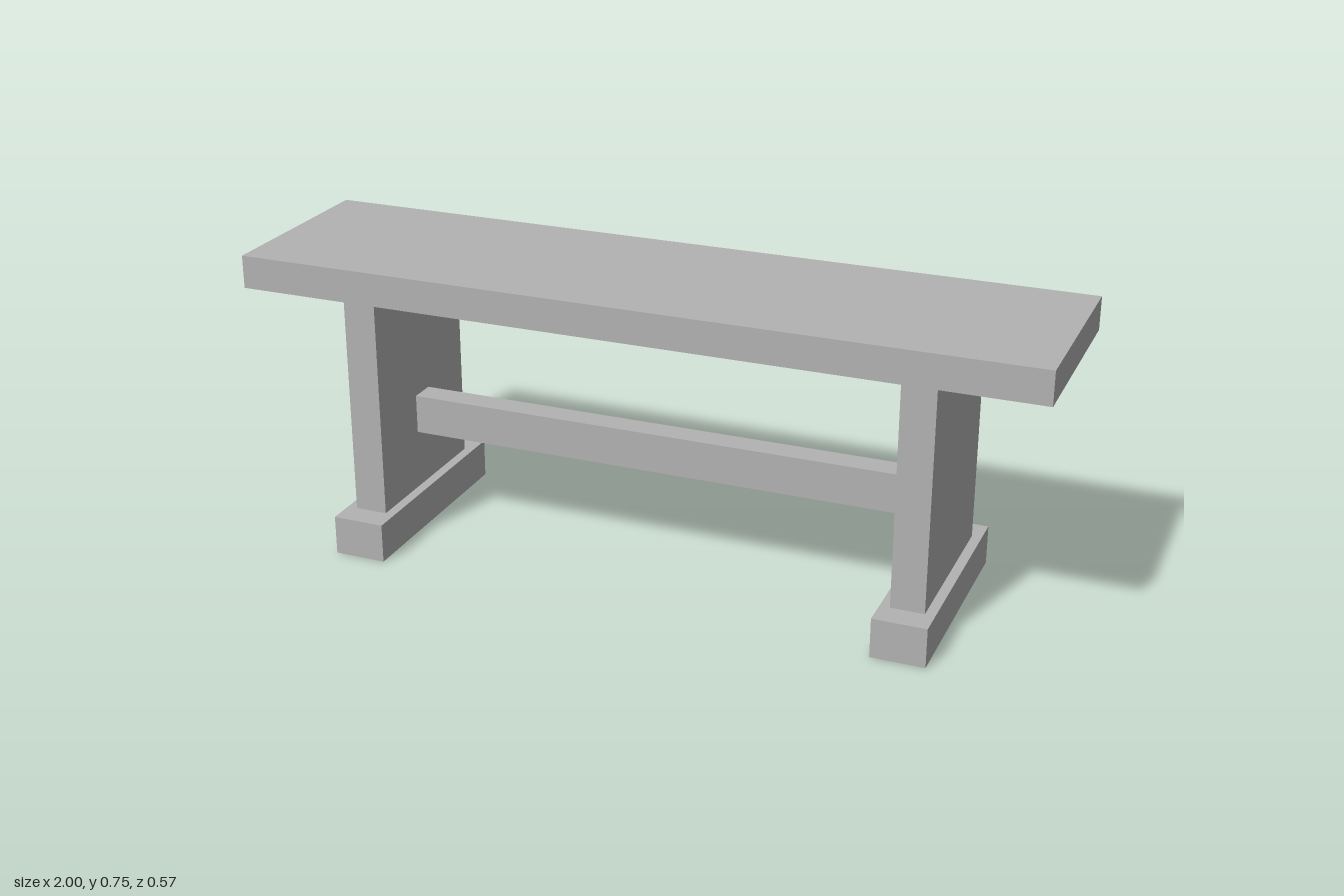
import * as THREE from 'three';

export function createModel() {
  const model = new THREE.Group();
  model.name = 'bench';

  const grey = new THREE.MeshStandardMaterial({ color: 0xb2b2b2 });
  grey.name = 'plain grey';

  // Box placed by its centre in x and its bottom height
  const addBox = (name, width, height, depth, x, bottom) => {
    const mesh = new THREE.Mesh(new THREE.BoxGeometry(width, height, depth), grey);
    mesh.name = name;
    mesh.position.set(x, bottom + height / 2, 0);
    model.add(mesh);
  };

  // Seat plank
  addBox('seat', 2, 0.083, 0.5, 0, 0.667);

  // Panel legs on wider feet
  for (const [side, sign] of [['left', 1], ['right', -1]]) {
    addBox(`${side}Leg`, 0.083, 0.567, 0.433, sign * 0.7, 0.1);
    addBox(`${side}Foot`, 0.133, 0.1, 0.567, sign * 0.7, 0);
  }

  // Stretcher between the inner faces of the legs
  addBox('stretcher', 1.317, 0.1, 0.067, 0, 0.25);

  return model;
}
